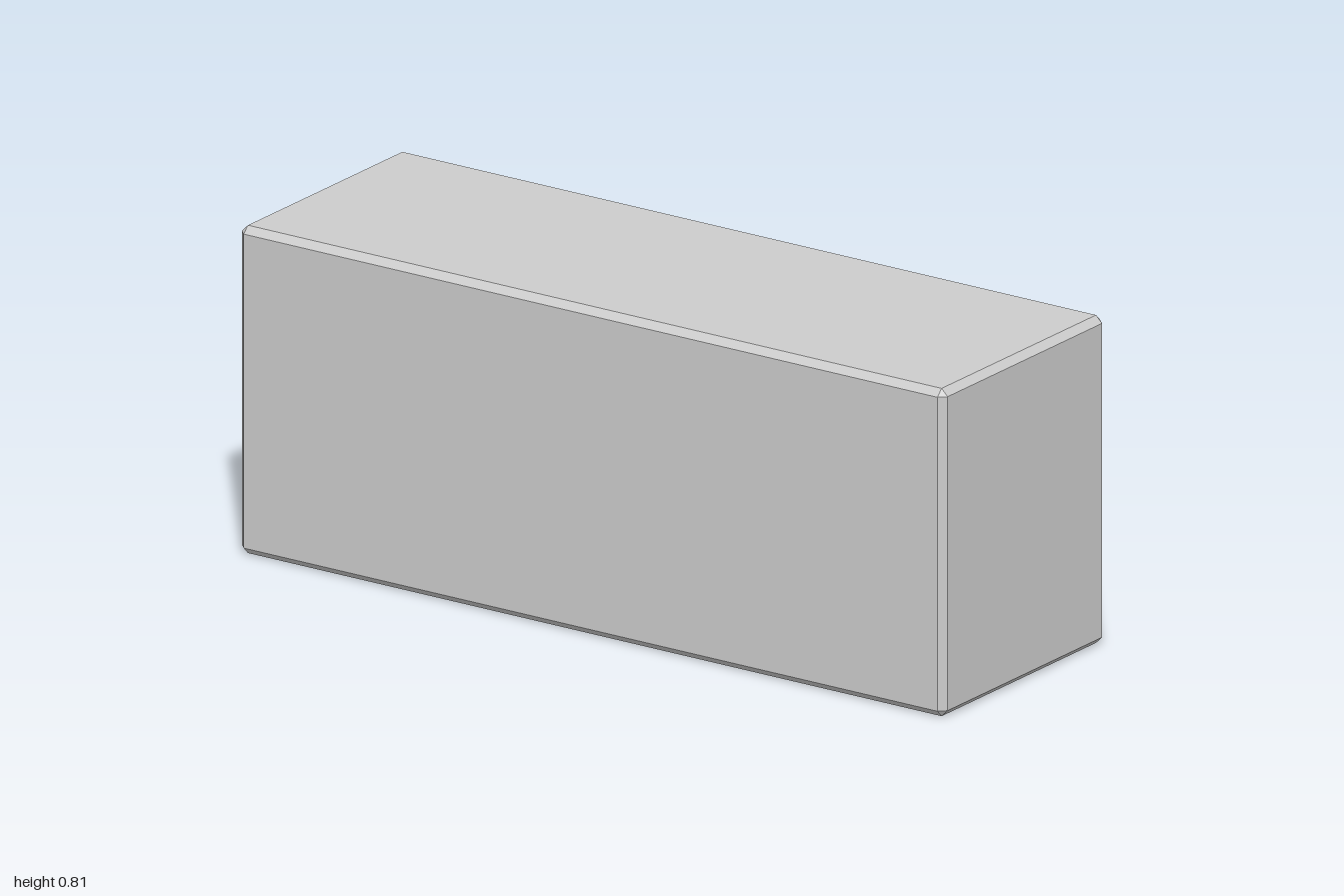
import * as THREE from 'three';

const HX = 1, HZ = 0.328, HEIGHT = 0.806; // outer half sizes and height
const BEVEL = 0.017, WALL = 0.108;
const CEILING = HEIGHT - WALL;

// Rectangle of eight points at height y, its corners cut by k
function ring(hx, hz, y, k = 0) {
  return [
    [hx, hz - k], [hx - k, hz], [-hx + k, hz], [-hx, hz - k],
    [-hx, -hz + k], [-hx + k, -hz], [hx - k, -hz], [hx, -hz + k],
  ].map(([x, z]) => new THREE.Vector3(x, y, z));
}

// Skin consecutive rings with flat faces, leaving out empty triangles
function skin(rings) {
  const points = [];
  const tri = new THREE.Triangle();
  const add = (a, b, c) => {
    if (tri.set(a, b, c).getArea() > 1e-8) points.push(a, b, c);
  };
  for (let r = 0; r < rings.length - 1; r++) {
    const a = rings[r], b = rings[r + 1];
    for (let i = 0; i < 8; i++) {
      const j = (i + 1) % 8;
      add(a[i], b[i], a[j]);
      add(a[j], b[i], b[j]);
    }
  }
  const geometry = new THREE.BufferGeometry().setFromPoints(points);
  geometry.computeVertexNormals();
  return geometry;
}

export function createModel() {
  const model = new THREE.Group();
  model.name = 'hollowBlock';

  const grey = new THREE.MeshStandardMaterial({ color: 0xcccccc, flatShading: true });
  grey.name = 'light grey';

  // Bevelled shell, open underneath: ceiling, inner walls, rim, outer walls, top
  const ix = HX - WALL, iz = HZ - WALL;
  const bx = HX - BEVEL, bz = HZ - BEVEL;
  const shell = new THREE.Mesh(skin([
    ring(0, 0, CEILING),
    ring(ix, iz, CEILING),
    ring(ix, iz, 0),
    ring(bx, bz, 0),
    ring(HX, HZ, BEVEL, BEVEL),
    ring(HX, HZ, HEIGHT - BEVEL, BEVEL),
    ring(bx, bz, HEIGHT),
    ring(0, 0, HEIGHT),
  ]), grey);
  shell.name = 'shell';
  model.add(shell);

  // Two eight-sided posts hanging from the ceiling to the rim
  const postGeometry = new THREE.CylinderGeometry(0.129, 0.129, CEILING, 8);
  postGeometry.rotateY(Math.PI / 8);
  for (const side of [-1, 1]) {
    const post = new THREE.Mesh(postGeometry, grey);
    post.name = side > 0 ? 'leftPost' : 'rightPost';
    post.position.set(side * 0.333, CEILING / 2, 0);
    model.add(post);
  }

  return model;
}
